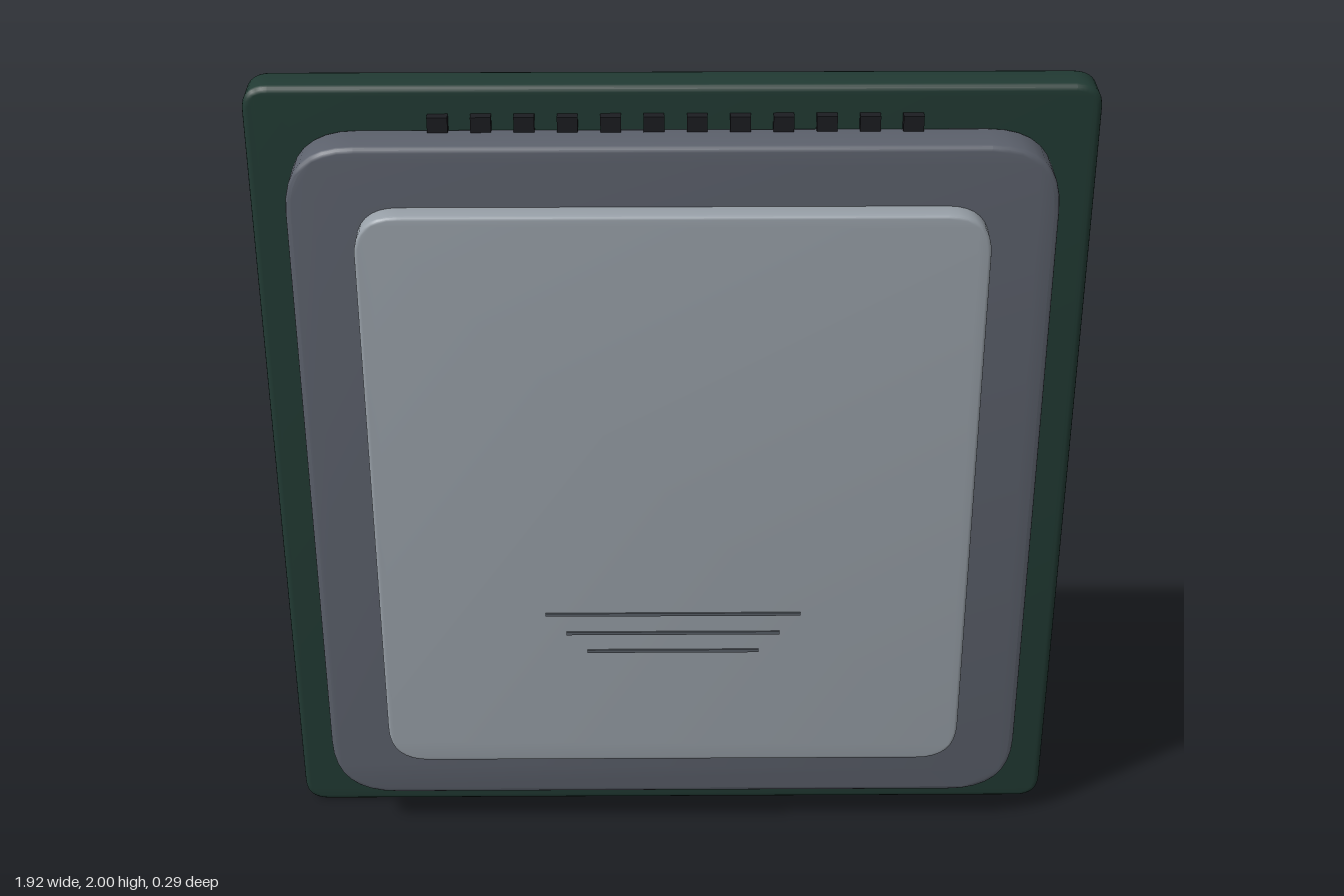
import * as THREE from 'three';
import { mergeGeometries, toCreasedNormals } from 'three/addons/utils/BufferGeometryUtils.js';

const paint = (color) => new THREE.MeshStandardMaterial({ color });
const BOARD = paint(0x213a33), SPREADER = paint(0x5c616c), LID = paint(0x98a0a8);
const DARK = paint(0x1c1d21), GOLD = paint(0xb08d48), CHIP = paint(0x55585f), ETCH = paint(0x5a6068);

function add(parent, name, geometry, material) {
  const mesh = new THREE.Mesh(geometry, material);
  mesh.name = name;
  parent.add(mesh);
  return mesh;
}

const box = (w, h, d, x, y, z) => new THREE.BoxGeometry(w, h, d).translate(x, y, z);

// Upright plate with rounded corners and softened edges, from z0 (back) to z1 (front)
function plate(halfW, y0, y1, z0, z1, r, bevel) {
  const s = new THREE.Shape();
  s.moveTo(-halfW + r, y0);
  s.lineTo(halfW - r, y0);
  s.quadraticCurveTo(halfW, y0, halfW, y0 + r);
  s.lineTo(halfW, y1 - r);
  s.quadraticCurveTo(halfW, y1, halfW - r, y1);
  s.lineTo(-halfW + r, y1);
  s.quadraticCurveTo(-halfW, y1, -halfW, y1 - r);
  s.lineTo(-halfW, y0 + r);
  s.quadraticCurveTo(-halfW, y0, -halfW + r, y0);
  const g = new THREE.ExtrudeGeometry(s, {
    depth: z1 - z0 - 2 * bevel, curveSegments: 8,
    bevelEnabled: true, bevelThickness: bevel, bevelSize: bevel, bevelOffset: -bevel, bevelSegments: 3,
  });
  return toCreasedNormals(g.translate(0, 0, z0 + bevel), 0.6);
}

export function createModel() {
  const model = new THREE.Group();
  model.name = 'processor';

  // Stacked plates
  add(model, 'circuitBoard', plate(0.96, 0, 2, -0.116, -0.02, 0.06, 0.014), BOARD);
  add(model, 'heatSpreader', plate(0.865, 0.107, 1.9, -0.021, 0.088, 0.16, 0.012), SPREADER);
  add(model, 'raisedLid', plate(0.712, 0.25, 1.757, 0.08, 0.14, 0.1, 0.008), LID);

  // Thin etched lines on the lid
  const lines = [[0.62, 0.695], [0.52, 0.64], [0.42, 0.587]]
    .map(([w, y]) => box(w, 0.008, 0.006, 0, y, 0.141));
  add(model, 'etchedLines', mergeGeometries(lines), ETCH);

  // Rows of tiny capacitors above and below the spreader
  for (const [name, y] of [['upperCapacitors', 1.915], ['lowerCapacitors', 0.091]]) {
    const row = [];
    for (let i = 0; i < 12; i++) row.push(box(0.046, 0.042, 0.03, -0.524 + i * 0.0965, y, -0.012));
    add(model, name, mergeGeometries(row), DARK);
  }

  // Contact pads on the back: 19 x 19 grid with an empty 7 x 7 centre
  const pads = [];
  for (let i = -9; i <= 9; i++) {
    for (let j = -9; j <= 9; j++) {
      if (Math.abs(i) <= 3 && Math.abs(j) <= 3) continue;
      pads.push(new THREE.CylinderGeometry(0.019, 0.019, 0.01, 12)
        .rotateX(Math.PI / 2).translate(i * 0.0927, 0.993 + j * 0.0972, -0.115));
    }
  }
  add(model, 'contactPads', mergeGeometries(pads), GOLD);

  // Three chips floating just behind the empty centre
  for (const i of [-1, 0, 1]) {
    add(model, 'backChip', box(0.174, 0.096, 0.018, i * 0.231, 1.003, -0.136), CHIP);
  }
  return model;
}
